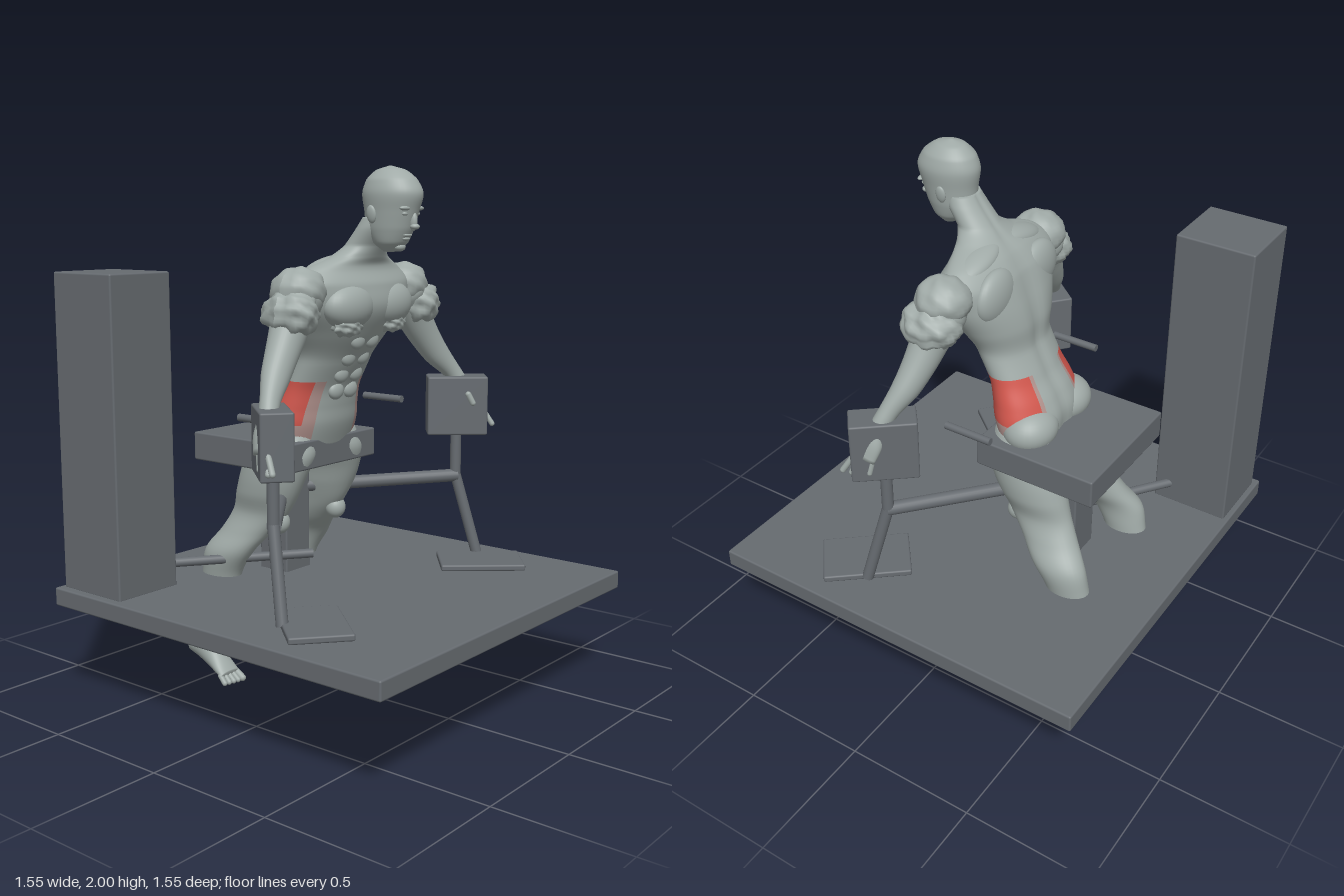
import * as THREE from 'three';
import { RoundedBoxGeometry } from 'three/addons/geometries/RoundedBoxGeometry.js';

const V = (x, y, z) => new THREE.Vector3(x, y, z);
const UP = V(0, 1, 0);

function material(name, color) {
  const m = new THREE.MeshStandardMaterial({ color });
  m.name = name;
  return m;
}

// Smooth closed loft through sections [x, y, z, radiusU, radiusV].
// axis is the ring normal; rule(angle, y) scales radiusV; pick(angle, y) chooses a material index.
function loft(sections, { axis, steps = 40, sides = 32, rule, pick } = {}) {
  const centre = new THREE.CatmullRomCurve3(sections.map(s => V(s[0], s[1], s[2])));
  const radius = new THREE.CatmullRomCurve3(sections.map(s => V(s[3], s[4], 0)));
  const w = axis || centre.getPoint(1).sub(centre.getPoint(0)).normalize();
  const u = V(1, 0, 0).addScaledVector(w, -w.x).normalize();
  const v = u.clone().cross(w);
  const pos = [], buckets = [[], [], []];
  for (let i = 0; i <= steps; i++) {
    const c = centre.getPoint(i / steps), r = radius.getPoint(i / steps);
    for (let j = 0; j < sides; j++) {
      const a = j / sides * Math.PI * 2, k = rule ? rule(a, c.y) : 1;
      const p = c.clone().addScaledVector(u, r.x * Math.cos(a)).addScaledVector(v, r.y * k * Math.sin(a));
      pos.push(p.x, p.y, p.z);
      if (i === steps) continue;
      const n = i * sides, b = n + j, d = n + (j + 1) % sides;
      buckets[pick ? pick(a + Math.PI / sides, c.y) : 0].push(b, b + sides, d, d, b + sides, d + sides);
    }
  }
  // End caps
  const first = pos.length / 3, p0 = centre.getPoint(0), p1 = centre.getPoint(1);
  pos.push(p0.x, p0.y, p0.z, p1.x, p1.y, p1.z);
  for (let j = 0; j < sides; j++) {
    const k = (j + 1) % sides, n = steps * sides;
    buckets[0].push(first, j, k, first + 1, n + k, n + j);
  }
  const g = new THREE.BufferGeometry();
  g.setAttribute('position', new THREE.Float32BufferAttribute(pos, 3));
  g.setIndex(buckets.flat());
  if (pick) {
    let start = 0;
    buckets.forEach((b, i) => { g.addGroup(start, b.length, i); start += b.length; });
  }
  g.computeVertexNormals();
  return g;
}

// Unit ball, optionally crumpled
function ball(lump = 0) {
  const g = new THREE.SphereGeometry(1, 32, 22), p = g.attributes.position;
  if (!lump) return g;
  for (let i = 0; i < p.count; i++) {
    const q = V().fromBufferAttribute(p, i);
    q.multiplyScalar(1 + lump * Math.sin(7 * q.x + 2 * q.y) * Math.cos(8 * q.y - 3 * q.z) + lump * 0.5 * Math.sin(11 * q.z + 5 * q.x));
    p.setXYZ(i, q.x, q.y, q.z);
  }
  g.computeVertexNormals();
  return g;
}

export function createModel() {
  const model = new THREE.Group(), machine = new THREE.Group(), figure = new THREE.Group();
  model.name = 'hipMachineWithFigure';
  machine.name = 'machine';
  figure.name = 'figure';
  model.add(machine, figure);

  const steel = material('darkGrey', 0x666b70);
  const skin = material('skinGrey', 0xa0aaa7);
  const red = material('muscleRed', 0xd0564c);
  const pink = material('fadedRed', 0xb0918c);

  function add(parent, name, geometry, mat, pos) {
    const m = new THREE.Mesh(geometry, mat);
    m.name = name;
    if (pos) m.position.set(...pos);
    parent.add(m);
    return m;
  }
  const box = (name, size, pos, turn = 0) => {
    add(machine, name, new RoundedBoxGeometry(...size, 2, 0.007), steel, pos).rotation.y = turn;
  };
  function rod(parent, name, a, b, r, mat) {
    const from = V(...a), to = V(...b), d = to.clone().sub(from);
    const g = parent === figure ? new THREE.CapsuleGeometry(r, d.length(), 5, 12) : new THREE.CylinderGeometry(r, r, d.length(), 20);
    const m = add(parent, name, g, mat, from.add(to).multiplyScalar(0.5).toArray());
    m.quaternion.setFromUnitVectors(UP, d.normalize());
  }
  const bulge = (name, pos, size, lump = 0) => {
    const m = add(figure, name, ball(lump), skin, pos);
    m.scale.set(...size);
    return m;
  };

  // Machine frame
  box('platform', [1.55, 0.07, 1.55], [0, 0.405, 0]);
  box('weightTower', [0.285, 1.19, 0.31], [-0.6, 1.03, -0.6]);
  box('seat', [0.525, 0.11, 0.485], [0, 0.94, -0.295]);
  box('seatPost', [0.14, 0.46, 0.14], [0, 0.66, -0.3]);
  rod(machine, 'towerRod', [-0.48, 0.515, -0.515], [0.005, 0.515, -0.16], 0.018, steel);
  for (const s of [1, -1]) {
    box('footPlate', [0.333, 0.025, 0.227], [0.517 * s, 0.452, 0.29], -0.87 * s);
    box('armPad', [0.24, 0.235, 0.117], [0.552 * s, 1.072, 0.14], -0.87 * s);
    rod(machine, 'padPost', [0.552 * s, 0.96, 0.14], [0.552 * s, 0.77, 0.14], 0.022, steel);
    rod(machine, 'slantedLeg', [0.552 * s, 0.785, 0.14], [0.6 * s, 0.45, 0.22], 0.022, steel);
    rod(machine, 'crossBar', [0.555 * s, 0.78, 0.145], [0.06 * s, 0.765, -0.26], 0.026, steel);
    rod(machine, 'sidePeg', [0.37 * s, 1.1, 0], [0.37 * s, 1.1, -0.188], 0.014, steel);
  }

  // Torso and neck, with a spine groove and highlighted hips
  const torso = [
    [0.96, -0.165, 0.21, 0.11], [1.05, -0.15, 0.213, 0.128], [1.12, -0.13, 0.198, 0.12], [1.2, -0.095, 0.18, 0.106],
    [1.3, -0.045, 0.178, 0.11], [1.4, -0.01, 0.225, 0.14], [1.5, 0.025, 0.285, 0.15], [1.58, 0.035, 0.31, 0.13],
    [1.64, 0.045, 0.24, 0.095], [1.68, 0.075, 0.135, 0.08], [1.72, 0.105, 0.085, 0.07], [1.78, 0.15, 0.078, 0.066], [1.82, 0.17, 0.068, 0.058],
  ].map(([y, z, a, b]) => [0, y, z, a, b]);
  const hips = (a, y) => {
    if (y < 0.99 || y > 1.215) return 0;
    const side = Math.atan2(Math.sin(a), Math.abs(Math.cos(a)));
    if (side < -1.1 || side > 0.95) return 0;
    return y < 1.045 || side > 0.7 || side < -1 ? 2 : 1;
  };
  add(figure, 'torso', loft(torso, {
    axis: UP, steps: 90, sides: 64, pick: hips,
    rule: a => Math.sin(a) < 0 ? 1 - 0.09 * Math.exp(-((Math.cos(a) / 0.16) ** 2)) : 1,
  }), [skin, red, pink]);

  // Head and face
  const head = [
    [1.698, 0.222, 0.03, 0.025], [1.73, 0.218, 0.06, 0.065], [1.78, 0.216, 0.075, 0.093], [1.84, 0.222, 0.083, 0.106],
    [1.9, 0.226, 0.09, 0.119], [1.95, 0.222, 0.078, 0.1], [1.985, 0.218, 0.046, 0.058], [2, 0.215, 0.004, 0.005],
  ].map(([y, z, a, b]) => [0, y, z, a, b]);
  add(figure, 'head', loft(head, { axis: UP, steps: 50, sides: 40 }), skin);
  bulge('nose', [0, 1.805, 0.318], [0.013, 0.034, 0.016]);
  bulge('noseTip', [0, 1.787, 0.325], [0.018, 0.011, 0.017]);
  bulge('upperLip', [0, 1.757, 0.291], [0.026, 0.007, 0.012]);
  bulge('lowerLip', [0, 1.744, 0.285], [0.022, 0.007, 0.012]);
  bulge('chin', [0, 1.715, 0.258], [0.026, 0.016, 0.02]);

  for (const s of [1, -1]) {
    bulge('brow', [0.035 * s, 1.851, 0.311], [0.033, 0.009, 0.014]);
    bulge('eye', [0.034 * s, 1.832, 0.306], [0.016, 0.008, 0.011]);
    bulge('ear', [0.09 * s, 1.83, 0.2], [0.01, 0.032, 0.02]).rotation.z = -0.15 * s;

    // Chest, belly and back muscles
    bulge('pectoral', [0.115 * s, 1.505, 0.115], [0.125, 0.085, 0.072]);
    bulge('crumpledChest', [0.13 * s, 1.435, 0.125], [0.068, 0.038, 0.045], 0.14);
    [[1.375, 0.098], [1.31, 0.053], [1.245, 0.02], [1.18, -0.004]].forEach(([y, z]) =>
      bulge('abdominal', [0.04 * s, y, z], [0.039, 0.035, 0.022]));
    bulge('shoulderBlade', [0.135 * s, 1.53, -0.055], [0.11, 0.1, 0.05]);
    bulge('buttock', [0.118 * s, 1.02, -0.195], [0.113, 0.085, 0.1]);
    bulge('trapezius', [0.13 * s, 1.635, 0.03], [0.13, 0.04, 0.065]).rotation.z = -0.25 * s;

    // Shoulder and arm
    bulge('deltoid', [0.305 * s, 1.565, 0.045], [0.1, 0.085, 0.1], 0.04);
    bulge('crumpledUpperArm', [0.362 * s, 1.49, 0.06], [0.088, 0.085, 0.11], 0.1);
    const arm = [
      [0.28, 1.58, 0.04, 0.08, 0.08], [0.335, 1.5, 0.05, 0.08, 0.08], [0.38, 1.42, 0.06, 0.07, 0.066], [0.42, 1.36, 0.07, 0.063, 0.058],
      [0.48, 1.28, 0.09, 0.054, 0.048], [0.54, 1.21, 0.12, 0.038, 0.035], [0.575, 1.155, 0.14, 0.034, 0.034],
      [0.607, 1.1, 0.15, 0.028, 0.042], [0.63, 1.045, 0.165, 0.02, 0.04],
    ].map(([x, ...r]) => [x * s, ...r]);
    add(figure, 'arm', loft(arm), skin);
    for (let i = 0; i < 4; i++) {
      const k = i - 1.5;
      rod(figure, 'finger', [(0.628 + 0.009 * k) * s, 1.065, 0.165 + 0.02 * k], [(0.646 + 0.012 * k) * s, 0.98 + 0.006 * Math.abs(k), 0.195 + 0.03 * k], 0.011, skin);
    }
    rod(figure, 'thumb', [0.535 * s, 1.12, 0.208], [0.548 * s, 1.085, 0.222], 0.012, skin);

    // Leg
    const leg = [
      [1.02, 0.12, -0.17, 0.09, 0.1], [0.93, 0.142, -0.19, 0.115, 0.146], [0.85, 0.16, -0.215, 0.102, 0.145], [0.78, 0.165, -0.24, 0.092, 0.14],
      [0.7, 0.167, -0.275, 0.072, 0.128], [0.62, 0.19, -0.33, 0.072, 0.115], [0.54, 0.225, -0.39, 0.07, 0.11], [0.45, 0.225, -0.43, 0.063, 0.09],
      [0.36, 0.22, -0.45, 0.055, 0.085], [0.27, 0.23, -0.475, 0.043, 0.066], [0.2, 0.242, -0.493, 0.034, 0.056], [0.12, 0.243, -0.525, 0.034, 0.058],
    ].map(([y, x, z, a, b]) => [x * s, y, z, a, b]);
    add(figure, 'leg', loft(leg, { axis: V(0, -1, 0), steps: 60 }), skin);
    bulge('kneecap', [0.168 * s, 0.67, -0.178], [0.042, 0.045, 0.04]);

    // Foot
    const foot = [
      [0.13, -0.597, 0.015, 0.018], [0.13, -0.575, 0.032, 0.043], [0.127, -0.53, 0.038, 0.054], [0.095, -0.47, 0.042, 0.046],
      [0.055, -0.41, 0.05, 0.028], [0.034, -0.38, 0.05, 0.017],
    ].map(([y, z, a, b]) => [0.243 * s, y, z, a, b]);
    add(figure, 'foot', loft(foot), skin);
    for (let i = 0; i < 5; i++) {
      const x = (0.203 + 0.021 * i) * s, r = i ? 0.0105 : 0.014;
      rod(figure, 'toe', [x, 0.036, -0.39], [x, r, -0.352 - 0.004 * i], r, skin);
    }
  }
  return model;
}
